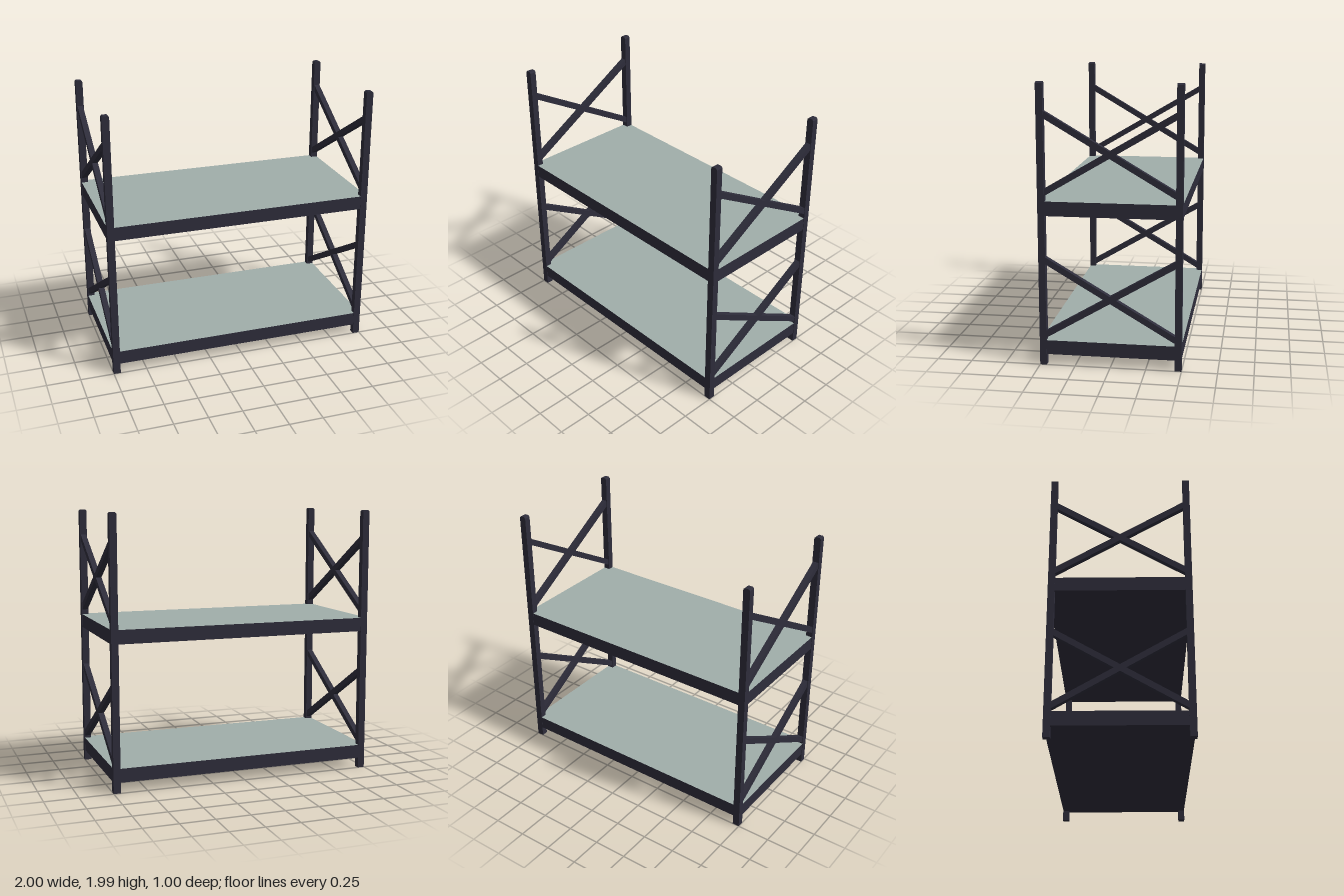
import * as THREE from 'three';

export function createModel() {
  const root = new THREE.Group();
  root.name = 'storageRack';

  const frame = new THREE.MeshStandardMaterial({ color: 0x2e2d3b });
  frame.name = 'dark frame';
  const panel = new THREE.MeshStandardMaterial({ color: 0xa0aeaa });
  panel.name = 'pale grey green panel';

  const add = (name, geometry, material, x, y, z) => {
    const mesh = new THREE.Mesh(geometry, material);
    mesh.name = name;
    mesh.position.set(x, y, z);
    root.add(mesh);
    return mesh;
  };

  // Corner posts: square section with the top edges clipped
  const w = 0.052, h = 1.99, c = 0.01;
  const profile = new THREE.Shape([
    [-w / 2, 0], [w / 2, 0], [w / 2, h - c], [w / 2 - c, h],
    [-w / 2 + c, h], [-w / 2, h - c],
  ].map(([x, y]) => new THREE.Vector2(x, y)));
  const postGeometry = new THREE.ExtrudeGeometry(profile, { depth: 0.048, bevelEnabled: false });
  postGeometry.translate(0, 0, -0.024);

  for (const [sx, side] of [[1, 'left'], [-1, 'right']]) {
    for (const [sz, end] of [[1, 'Front'], [-1, 'Back']]) {
      add(`${side}${end}Post`, postGeometry, frame, sx * (1 - w / 2), 0, sz * 0.476);
    }
  }

  // Shelf decks: dark rim and underside, pale top face
  const deckGeometry = new THREE.BoxGeometry(1.994, 0.102, 0.996);
  const deckMaterials = [frame, frame, panel, frame, frame, frame];
  add('lowerShelf', deckGeometry, deckMaterials, 0, 0.129, 0);
  add('upperShelf', deckGeometry, deckMaterials, 0, 1.125, 0);

  // Crossed braces on both ends, one pair above each shelf
  const angle = Math.atan2(0.542, 0.92);
  const braceGeometry = new THREE.BoxGeometry(0.042, 0.043, 1.08);
  for (const [level, y] of [['lower', 0.49], ['upper', 1.505]]) {
    for (const [sx, side] of [[1, 'Left'], [-1, 'Right']]) {
      for (const [dir, lean] of [[1, 'Rising'], [-1, 'Falling']]) {
        add(`${level}${side}${lean}Brace`, braceGeometry, frame, sx * 0.975, y, 0)
          .rotation.x = dir * angle;
      }
    }
  }

  return root;
}
